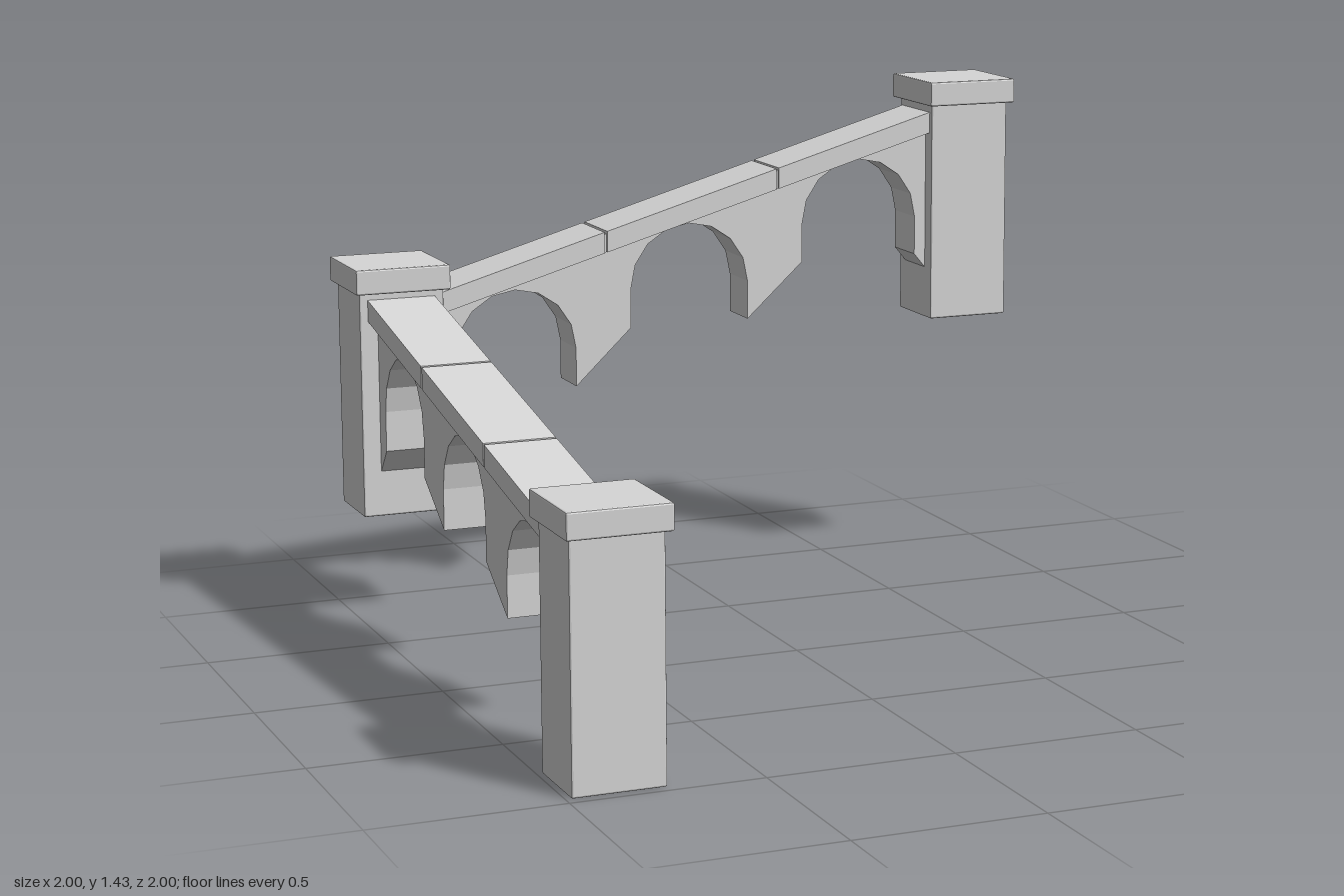
import * as THREE from 'three';
import { RoundedBoxGeometry } from 'three/addons/geometries/RoundedBoxGeometry.js';

const stone = new THREE.MeshStandardMaterial({ color: 0xd6d6d6 });
stone.name = 'pale grey stone';

// Block with fine chamfered edges
function block(name, w, h, d, x, y, z) {
  const geo = new RoundedBoxGeometry(w, h, d, 1, 0.005);
  geo.computeVertexNormals();
  const mesh = new THREE.Mesh(geo, stone);
  mesh.name = name;
  mesh.position.set(x, y, z);
  return mesh;
}

// Square pillar with an overhanging cap; y is the foot of the pillar
function pillar(name, x, y, z) {
  const group = new THREE.Group();
  group.name = name;
  group.add(block('pillarShaft', 0.242, 0.636, 0.217, x, y + 0.318, z));
  group.add(block('pillarCap', 0.27, 0.07, 0.27, Math.sign(x) * 0.865, y + 0.665, Math.sign(z) * 0.865));
  return group;
}

// Extrude an outline drawn in (length, height), centred on its thickness
function slab(name, points, thickness) {
  const shape = new THREE.Shape(points.map(([s, y]) => new THREE.Vector2(s, y)));
  const geo = new THREE.ExtrudeGeometry(shape, { depth: thickness, bevelEnabled: false });
  geo.translate(0, 0, -thickness / 2);
  const mesh = new THREE.Mesh(geo, stone);
  mesh.name = name;
  return mesh;
}

// Sloping arcade: hanging piers between three arches, under a rail of three pieces
function arcade(name, { end, railY, railSlope, arches, startTip, endTip, joints }) {
  const group = new THREE.Group();
  group.name = name;
  const R = 0.179, LEG = 0.111, RAIL = 0.06, GAP = 0.004;
  const top = s => railY + railSlope * s;

  // Wall outline: along the underside, then back along the rail
  const outline = [[-end, startTip]];
  for (const [centre, apex] of arches) {
    const spring = apex - R;
    outline.push([centre - R, spring - LEG]);
    for (let i = 0; i <= 8; i++) {
      const a = Math.PI * (1 - i / 8);
      outline.push([centre + R * Math.cos(a), spring + R * Math.sin(a)]);
    }
    outline.push([centre + R, spring - LEG]);
  }
  outline.push([end, endTip], [end, top(end) - RAIL], [-end, top(-end) - RAIL]);
  group.add(slab('archedWall', outline, 0.137));

  // Stretch of rail between a and b, its top lowered by drop
  const rail = (part, a, b, drop, thickness) => group.add(slab(part, [
    [a, top(a) - RAIL], [b, top(b) - RAIL], [b, top(b) - drop], [a, top(a) - drop],
  ], thickness));

  // Rail pieces, with recessed mortar filling the narrow joints
  const cuts = [-end - GAP, ...joints, end + GAP];
  for (let i = 0; i < 3; i++) rail('railPiece', cuts[i] + GAP, cuts[i + 1] - GAP, 0, 0.192);
  for (const j of joints) rail('railJoint', j - GAP, j + GAP, 0.008, 0.176);
  return group;
}

export function createModel() {
  const model = new THREE.Group();
  model.name = 'corner arcade';

  model.add(pillar('frontPillar', -0.865, 0, 0.866));
  model.add(pillar('cornerPillar', -0.865, 0.294, -0.863));
  model.add(pillar('highPillar', 0.865, 0.732, -0.863));

  // Back arcade rises towards +x
  const back = arcade('backArcade', {
    end: 0.755, railY: 1.126, railSlope: 0.289,
    arches: [[-0.523, 0.898], [0.002, 1.056], [0.531, 1.212]],
    startTip: 0.435, endTip: 0.868, joints: [-0.26, 0.265],
  });
  back.position.z = -0.864;
  model.add(back);

  // Side arcade rises towards -z
  const side = arcade('sideArcade', {
    end: 0.767, railY: 0.761, railSlope: 0.1916,
    arches: [[-0.533, 0.568], [-0.008, 0.675], [0.518, 0.78]],
    startTip: 0.134, endTip: 0.407, joints: [-0.268, 0.257],
  });
  side.rotation.y = Math.PI / 2;
  side.position.x = -0.866;
  model.add(side);

  return model;
}
